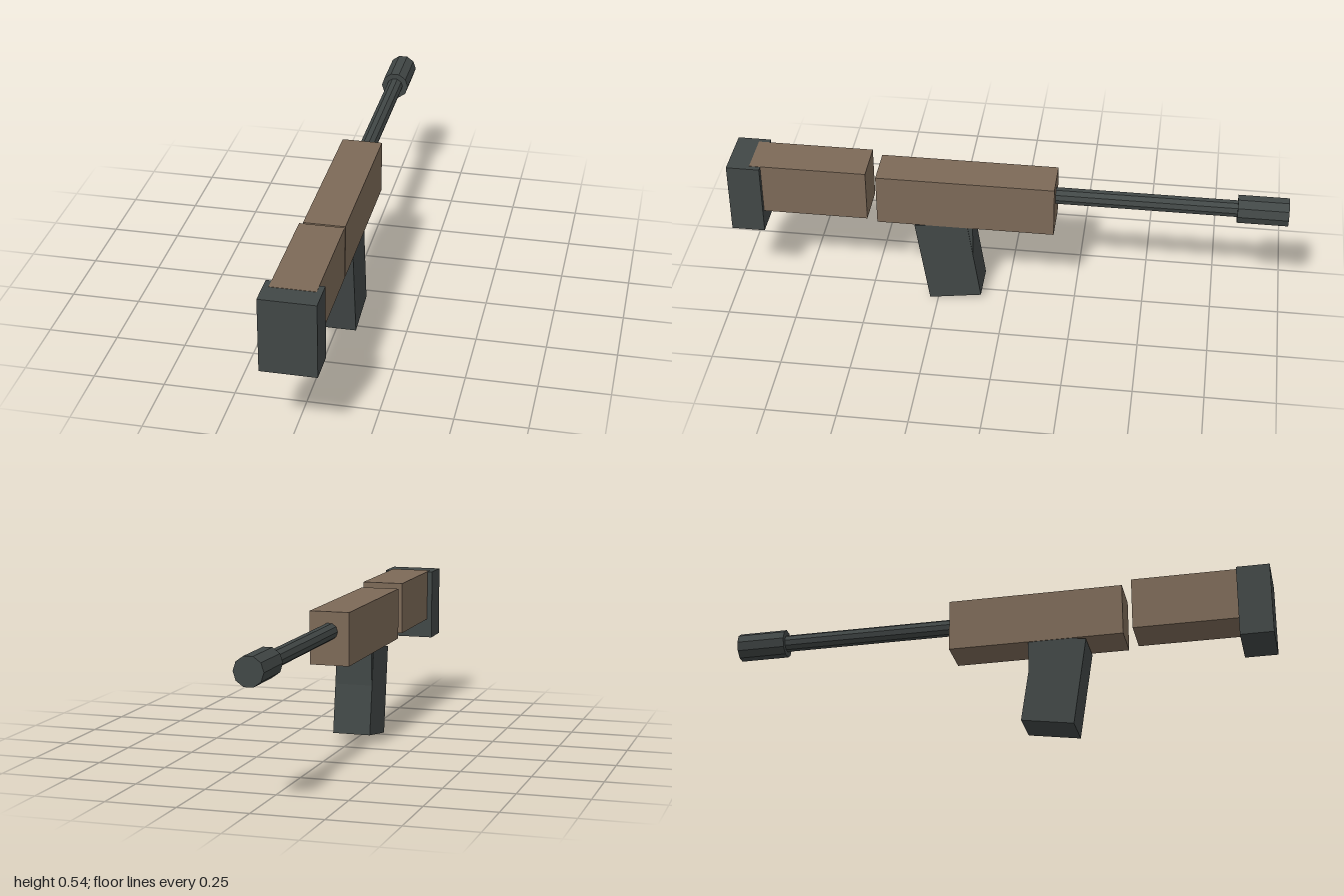
import * as THREE from 'three';

export function createModel() {
  const model = new THREE.Group();
  const dark = new THREE.MeshStandardMaterial({ color: 0x414746, flatShading: true });
  const wood = new THREE.MeshStandardMaterial({ color: 0x7c6957, flatShading: true });

  const add = (name, geometry, material, y, z) => {
    const mesh = new THREE.Mesh(geometry, material);
    mesh.name = name;
    mesh.position.set(0, y, z);
    model.add(mesh);
    return mesh;
  };

  // Box given by its width and its y and z ranges
  const box = (name, material, width, y0, y1, z0, z1) =>
    add(name, new THREE.BoxGeometry(width, y1 - y0, z1 - z0), material, (y0 + y1) / 2, (z0 + z1) / 2);

  // Ten-sided rod along z
  const rod = (name, radius, z0, z1) => {
    const geometry = new THREE.CylinderGeometry(radius, radius, z1 - z0, 10);
    geometry.rotateY(Math.PI / 2).rotateX(Math.PI / 2);
    return add(name, geometry, dark, 0.459, (z0 + z1) / 2);
  };

  // Stock and butt
  box('buttPlate', dark, 0.194, 0.277, 0.545, 0.88, 1);
  box('stock', wood, 0.156, 0.352, 0.546, 0.5, 0.92);

  // Body
  box('receiver', wood, 0.146, 0.337, 0.53, -0.175, 0.465);

  // Barrel and muzzle
  rod('barrel', 0.031, -0.83, -0.15);
  rod('muzzle', 0.052, -1, -0.82);

  // Slanted grip with an upright block at its front
  const grip = add('grip', new THREE.BoxGeometry(0.142, 0.329, 0.192), dark, 0.181, 0.21);
  grip.rotation.x = 0.15;
  box('gripFrontBlock', dark, 0.138, 0.19, 0.345, 0.118, 0.2);

  return model;
}
